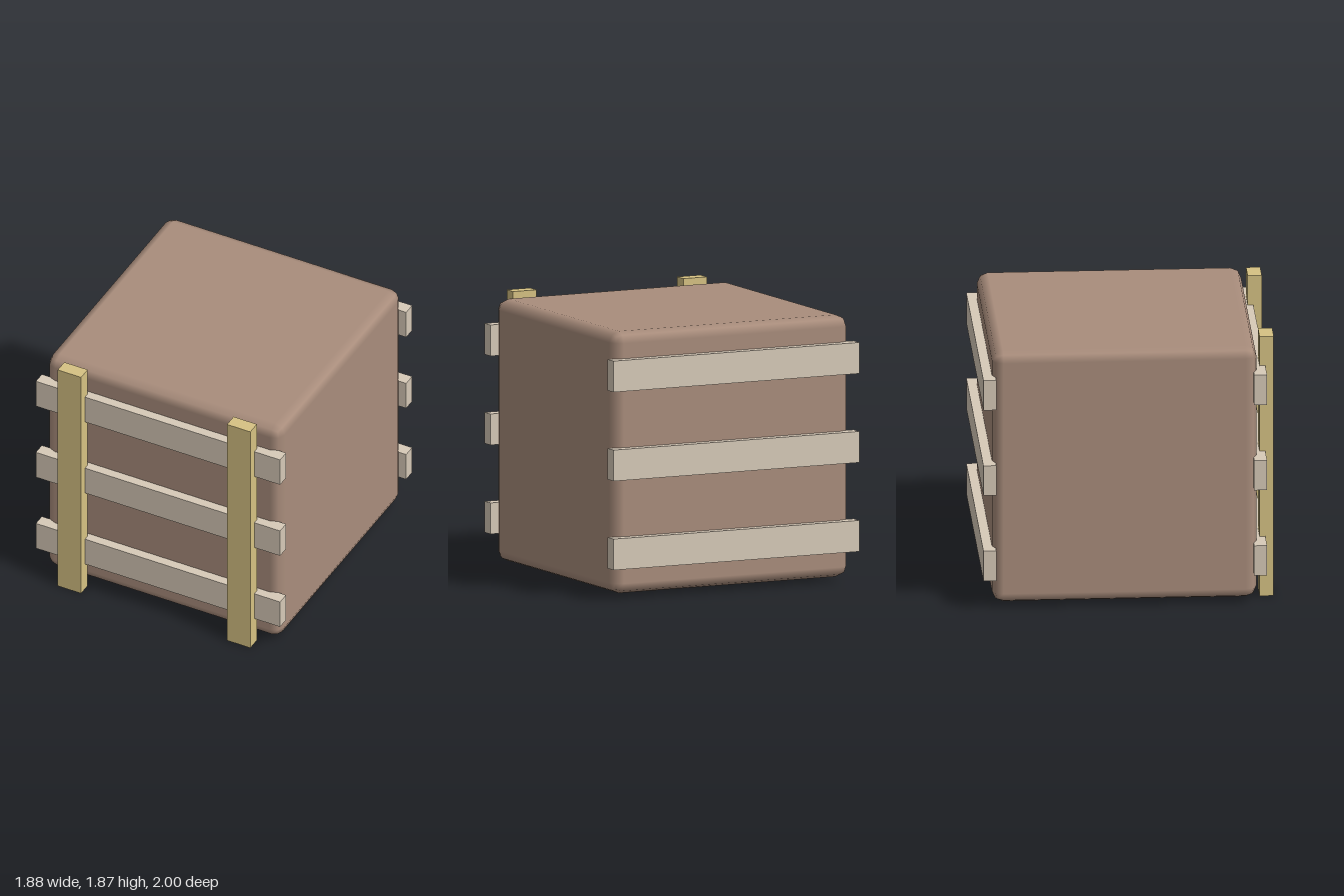
import * as THREE from 'three';
import { RoundedBoxGeometry } from 'three/addons/geometries/RoundedBoxGeometry.js';

export function createModel() {
  const model = new THREE.Group();
  model.name = 'crate';

  const brown = new THREE.MeshStandardMaterial({ color: 0xa98d7c });
  const paleWood = new THREE.MeshStandardMaterial({ color: 0xd7cab8 });
  const yellowWood = new THREE.MeshStandardMaterial({ color: 0xd6c283 });

  function add(name, geometry, material, x, y, z) {
    const mesh = new THREE.Mesh(geometry, material);
    mesh.name = name;
    mesh.position.set(x, y, z);
    model.add(mesh);
  }

  // Body: cube with softly bevelled edges
  add('body', new RoundedBoxGeometry(1.81, 1.81, 1.81, 1, 0.075), brown, 0, 0.935, -0.03);

  // Three horizontal slats on the front and three on the back
  const slat = new THREE.BoxGeometry(1.885, 0.215, 0.088);
  for (const y of [0.322, 0.937, 1.552]) {
    add('frontSlat', slat, paleWood, 0, y, 0.898);
    add('backSlat', slat, paleWood, 0, y, -0.956);
  }

  // Two upright posts over the front slats
  const post = new THREE.BoxGeometry(0.18, 1.87, 0.097);
  add('leftPost', post, yellowWood, 0.653, 0.935, 0.9515);
  add('rightPost', post, yellowWood, -0.653, 0.935, 0.9515);

  return model;
}
